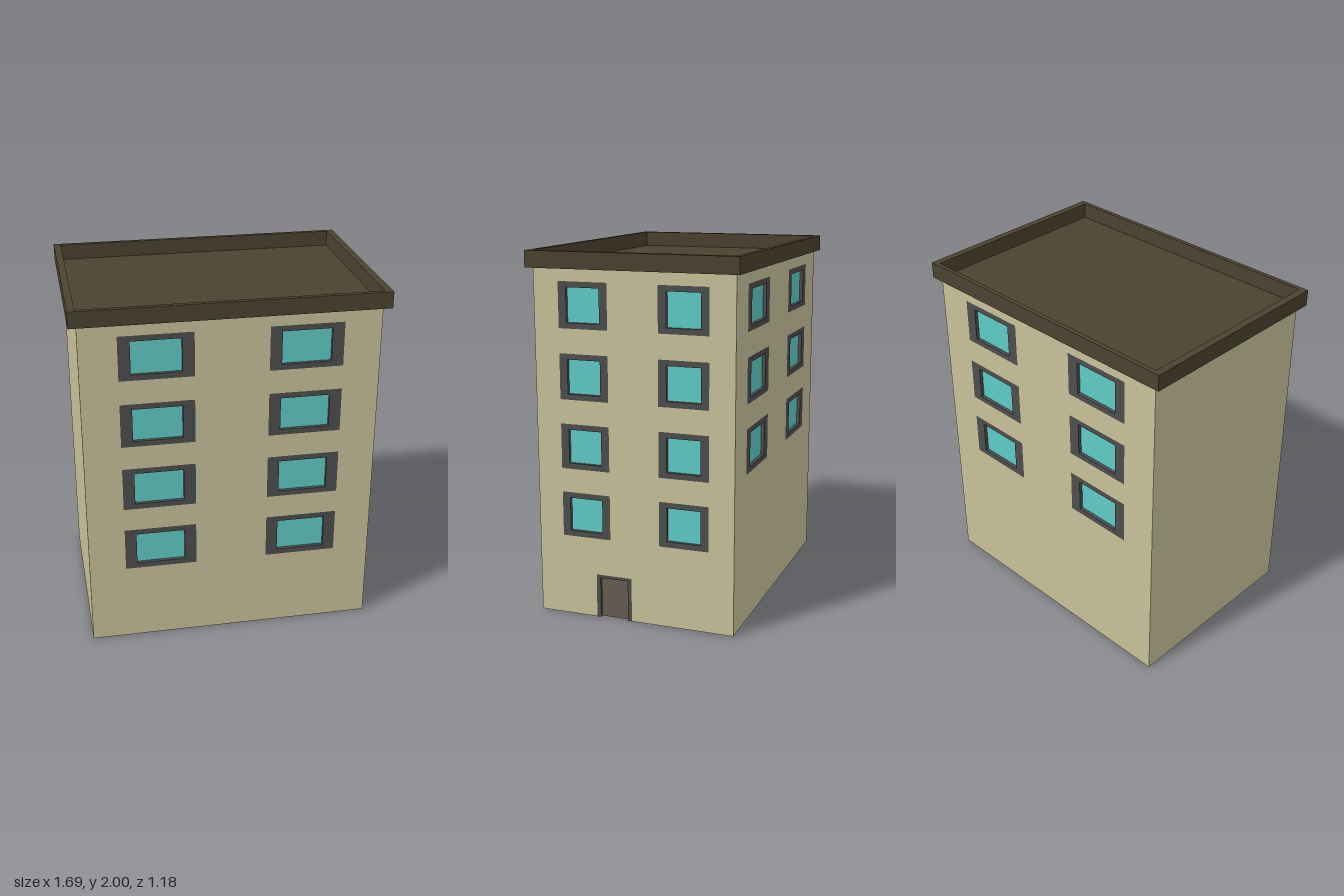
import * as THREE from 'three';

const W = 0.803, D = 0.56, WALL_TOP = 1.91, RECESS = 0.02;
const mat = (color) => new THREE.MeshStandardMaterial({ color, side: THREE.DoubleSide, flatShading: true });
const wallMat = mat(0xc8c19a), frameMat = mat(0x4d4d4d), glassMat = mat(0x5fcbc5);
const roofMat = mat(0x4b4230), doorMat = mat(0x665c50);

const polygon = (points) => new THREE.Shape(points.map(([x, y]) => new THREE.Vector2(x, y)));
const rect = (x0, y0, x1, y1) => polygon([[x0, y0], [x1, y0], [x1, y1], [x0, y1]]);

function add(parent, name, geometry, material) {
  const mesh = new THREE.Mesh(geometry, material);
  mesh.name = name;
  parent.add(mesh);
  return mesh;
}

// Frame flush with the wall face, reaching inwards by the recess depth
function frameGeometry(shape) {
  return new THREE.ExtrudeGeometry(shape, { depth: RECESS, bevelEnabled: false }).translate(0, 0, -RECESS);
}

// Window centred on u: frame half width fw, glass half width gw
function addWindow(wall, u, y, fw, gw) {
  const group = new THREE.Group();
  group.name = 'window';
  const frame = rect(u - fw, y - 0.124, u + fw, y + 0.124);
  frame.holes.push(rect(u - gw, y - 0.093, u + gw, y + 0.093));
  add(group, 'windowFrame', frameGeometry(frame), frameMat);
  const glass = new THREE.PlaneGeometry(gw * 2, 0.186).translate(u, y, -RECESS + 0.001);
  add(group, 'windowGlass', glass, glassMat);
  wall.add(group);
}

function addDoor(wall, u) {
  const group = new THREE.Group();
  group.name = 'door';
  const [f, p, top, pTop] = [0.103, 0.08, 0.245, 0.228];
  const frame = polygon([[u - f, 0], [u - p, 0], [u - p, pTop], [u + p, pTop],
    [u + p, 0], [u + f, 0], [u + f, top], [u - f, top]]);
  add(group, 'doorFrame', frameGeometry(frame), frameMat);
  const panel = new THREE.PlaneGeometry(p * 2, pTop).translate(u, pTop / 2, -RECESS + 0.001);
  add(group, 'doorPanel', panel, doorMat);
  wall.add(group);
}

// Thin wall in its own plane, facing +z, with openings for windows and a door
function makeWall({ name, half, columns = [], rows = [], fw, gw, door }) {
  const wall = new THREE.Group();
  wall.name = name;
  const notch = door === undefined ? []
    : [[door - 0.103, 0], [door - 0.103, 0.245], [door + 0.103, 0.245], [door + 0.103, 0]];
  const shape = polygon([[-half, 0], ...notch, [half, 0], [half, WALL_TOP], [-half, WALL_TOP]]);
  for (const u of columns) {
    for (const y of rows) {
      shape.holes.push(rect(u - fw, y - 0.124, u + fw, y + 0.124));
      addWindow(wall, u, y, fw, gw);
    }
  }
  add(wall, name + 'Surface', new THREE.ShapeGeometry(shape), wallMat);
  if (door !== undefined) addDoor(wall, door);
  return wall;
}

export function createModel() {
  const model = new THREE.Group();
  model.name = 'apartmentBlock';
  const rows = [0.575, 0.955, 1.336, 1.718];
  const wide = { half: W, columns: [-0.4, 0.4], fw: 0.2, gw: 0.135 };

  // Walls: the back has no lowest row, the -x side is blank
  const front = makeWall({ name: 'frontWall', ...wide, rows });
  front.position.z = D;
  const back = makeWall({ name: 'backWall', ...wide, rows: rows.slice(1) });
  back.position.z = -D;
  back.rotation.y = Math.PI;
  const doorSide = makeWall({ name: 'doorWall', half: D, columns: [-0.28, 0.28], rows,
    fw: 0.139, gw: 0.094, door: -0.123 });
  doorSide.position.x = W;
  doorSide.rotation.y = Math.PI / 2;
  const blank = makeWall({ name: 'blankWall', half: D });
  blank.position.x = -W;
  blank.rotation.y = -Math.PI / 2;
  model.add(front, back, doorSide, blank);

  // Roof: overhanging parapet around a sunken deck
  const rim = rect(-0.845, -0.588, 0.845, 0.588);
  rim.holes.push(rect(-0.805, -0.562, 0.805, 0.562));
  const parapet = new THREE.ExtrudeGeometry(rim, { depth: 2 - WALL_TOP, bevelEnabled: false });
  add(model, 'parapet', parapet.rotateX(-Math.PI / 2).translate(0, WALL_TOP, 0), roofMat);
  const deck = new THREE.PlaneGeometry(1.62, 1.13).rotateX(-Math.PI / 2);
  add(model, 'roofDeck', deck.translate(0, WALL_TOP + 0.003, 0), roofMat);
  return model;
}
